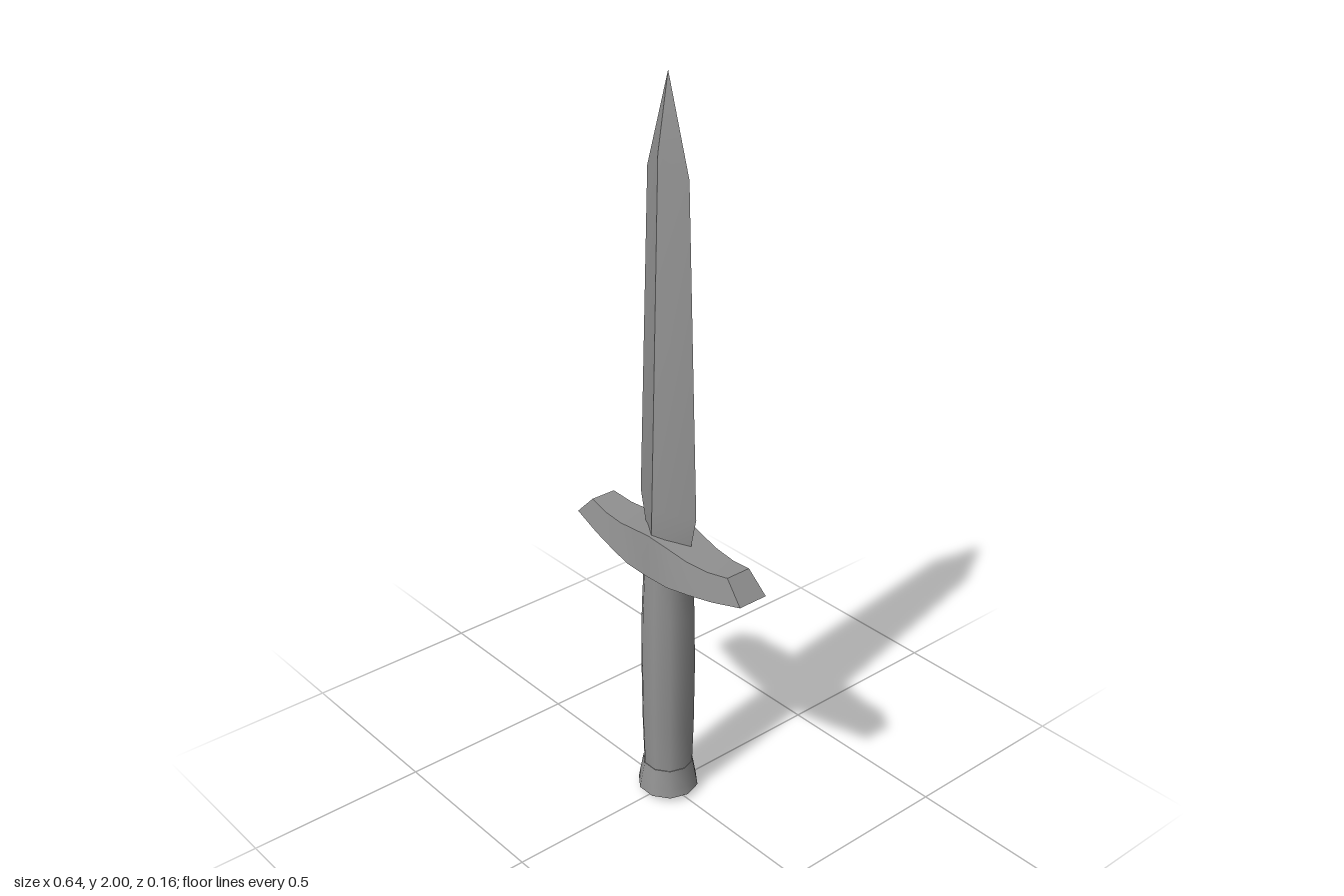
import * as THREE from 'three';
import { toCreasedNormals } from 'three/addons/utils/BufferGeometryUtils.js';

// Skins a list of equal-sized point rings and closes both ends.
function loft(rings, crease) {
  const n = rings[0].length;
  const last = (rings.length - 1) * n;
  const index = [];
  for (let r = 0; r < rings.length - 1; r++) {
    for (let i = 0; i < n; i++) {
      const a = r * n + i, b = r * n + (i + 1) % n;
      index.push(a, a + n, b, b, a + n, b + n);
    }
  }
  for (let i = 1; i < n - 1; i++) {
    index.push(0, i, i + 1, last, last + i + 1, last + i);
  }
  const geometry = new THREE.BufferGeometry();
  geometry.setAttribute('position', new THREE.Float32BufferAttribute(rings.flat(2), 3));
  geometry.setIndex(index);
  return toCreasedNormals(geometry, crease);
}

// Ten-sided turned part with corners on the x axis and flats facing front and back.
function turned(profile) {
  const points = profile.map(([r, y]) => new THREE.Vector2(r, y));
  return toCreasedNormals(new THREE.LatheGeometry(points, 10, Math.PI / 10), 0.8);
}

export function createModel() {
  const group = new THREE.Group();
  group.name = 'dagger';
  const darkGrey = new THREE.MeshStandardMaterial({ color: 0x919191 });
  const addPart = (name, geometry) => {
    const mesh = new THREE.Mesh(geometry, darkGrey);
    mesh.name = name;
    group.add(mesh);
  };

  // Diamond-section blade: half width, edge height, half depth, ridge height
  const blade = [
    [0.085, 0.78, 0.057, 0.78],
    [0.108, 0.885, 0.054, 0.885],
    [0.075, 1.76, 0.031, 1.81],
    [0, 2, 0, 2],
  ].map(([w, yw, d, yd]) => [[w, yw, 0], [0, yd, d], [-w, yw, 0], [0, yd, -d]]);
  addPart('blade', loft(blade, 0.6));

  // Guard stations: top x, y, half depth, then bottom x, y, half depth
  const half = [
    [0, 0.816, 0.065, 0, 0.7, 0.072],
    [0.07, 0.804, 0.057, 0.08, 0.703, 0.072],
    [0.13, 0.794, 0.051, 0.15, 0.711, 0.0635],
    [0.2, 0.793, 0.0435, 0.23, 0.724, 0.054],
    [0.265, 0.803, 0.036, 0.32, 0.746, 0.043],
  ];
  const mirrored = half.slice(1).reverse().map(([tx, ty, tz, bx, by, bz]) => [-tx, ty, tz, -bx, by, bz]);
  const guard = [...mirrored, ...half].map(([tx, ty, tz, bx, by, bz]) =>
    [[bx, by, bz], [tx, ty, tz], [tx, ty, -tz], [bx, by, -bz]]);
  addPart('guard', loft(guard, 0.5));

  // Gently swelling grip
  addPart('grip', turned([
    [0.067, 0.09], [0.071, 0.22], [0.073, 0.4], [0.071, 0.57], [0.064, 0.72],
  ]));

  // Flared pommel with a shallow pointed base
  addPart('pommel', turned([
    [0, 0], [0.083, 0.016], [0.079, 0.04], [0.069, 0.095], [0, 0.095],
  ]));

  return group;
}
